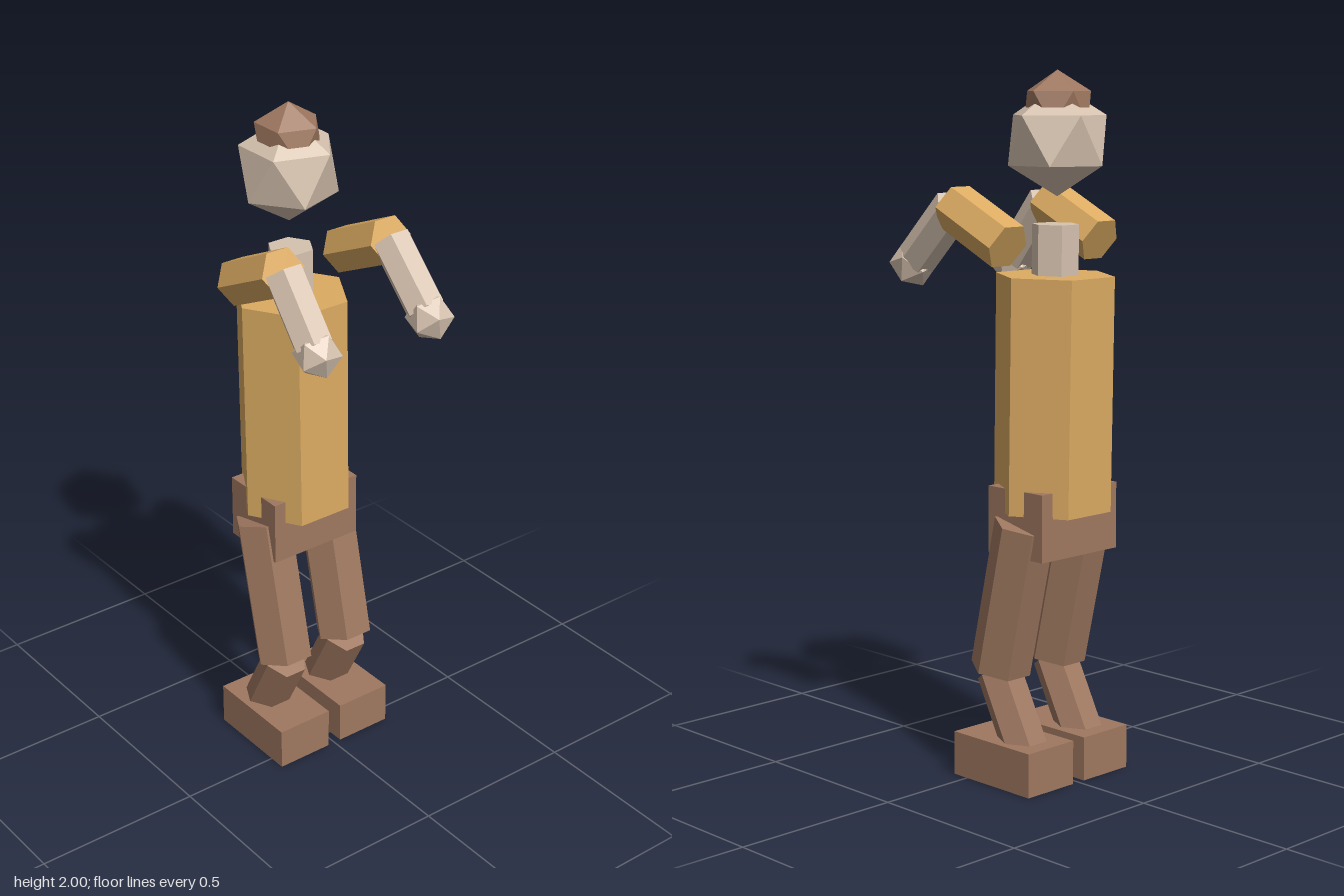
import * as THREE from 'three';

const mat = (name, color) => {
  const m = new THREE.MeshStandardMaterial({ color, flatShading: true });
  m.name = name;
  return m;
};

export function createModel() {
  const model = new THREE.Group();
  model.name = 'figure';
  const skin = mat('skin', 0xd7c3b0);
  const shirt = mat('shirt', 0xdcab62);
  const brown = mat('brown', 0x9f7860);

  const add = (name, geometry, material, x, y, z, tilt = 0) => {
    const mesh = new THREE.Mesh(geometry, material);
    mesh.name = name;
    mesh.position.set(x, y, z);
    mesh.rotation.x = tilt;
    model.add(mesh);
    return mesh;
  };

  // Six-sided prism between two [y, z] points, corners towards +x and -x
  const prism = (name, material, radius, x, bottom, top) => {
    const dy = top[0] - bottom[0], dz = top[1] - bottom[1];
    const geometry = new THREE.CylinderGeometry(radius, radius, Math.hypot(dy, dz), 6).rotateY(Math.PI / 6);
    return add(name, geometry, material, x, (top[0] + bottom[0]) / 2, (top[1] + bottom[1]) / 2, Math.atan2(dz, dy));
  };

  // Icosahedron with a corner at the top and an upper-ring corner towards +x
  const ball = (name, material, radius, x, y, z, tilt = 0) => add(name,
    new THREE.IcosahedronGeometry(radius, 0).rotateZ(-Math.atan(2 / (1 + Math.sqrt(5)))), material, x, y, z, tilt);

  // Head, hair and neck
  ball('head', skin, 0.153, 0, 1.809, -0.158);
  ball('hair', brown, 0.104, 0, 1.896, -0.158);
  prism('neck', skin, 0.067, 0, [1.38, -0.15], [1.58, -0.152]);

  // Body
  prism('torso', shirt, 0.17, 0, [0.78, -0.141], [1.44, -0.151]);
  add('hips', new THREE.BoxGeometry(0.297, 0.19, 0.212), brown, 0, 0.755, -0.144);

  // Legs
  for (const [side, s] of [['left', 1], ['right', -1]]) {
    prism(side + 'Thigh', brown, 0.088, s * 0.112, [0.318, -0.048], [0.75, -0.146]);
    prism(side + 'Shin', brown, 0.067, s * 0.113, [0.07, -0.165], [0.308, -0.042]);
    add(side + 'Foot', new THREE.BoxGeometry(0.178, 0.127, 0.302), brown, s * 0.111, 0.0635, -0.099);
  }

  // Arms, the right one bent slightly lower; points are [y, z]
  const arms = [
    { side: 'left', x: 0.18, elbow: [1.627, 0.065], hand: [1.458, 0.236] },
    { side: 'right', x: -0.182, elbow: [1.627, 0.06], hand: [1.443, 0.207] },
  ];
  for (const { side, x, elbow, hand } of arms) {
    const tilt = Math.atan2(elbow[1] - hand[1], elbow[0] - hand[0]);
    const wrist = [hand[0] + 0.02 * Math.cos(tilt), hand[1] + 0.02 * Math.sin(tilt)];
    prism(side + 'UpperArm', shirt, 0.07, x, [1.526, -0.148], elbow);
    prism(side + 'Forearm', skin, 0.058, x, wrist, elbow);
    ball(side + 'Hand', skin, 0.068, x, hand[0], hand[1], tilt);
  }
  return model;
}
